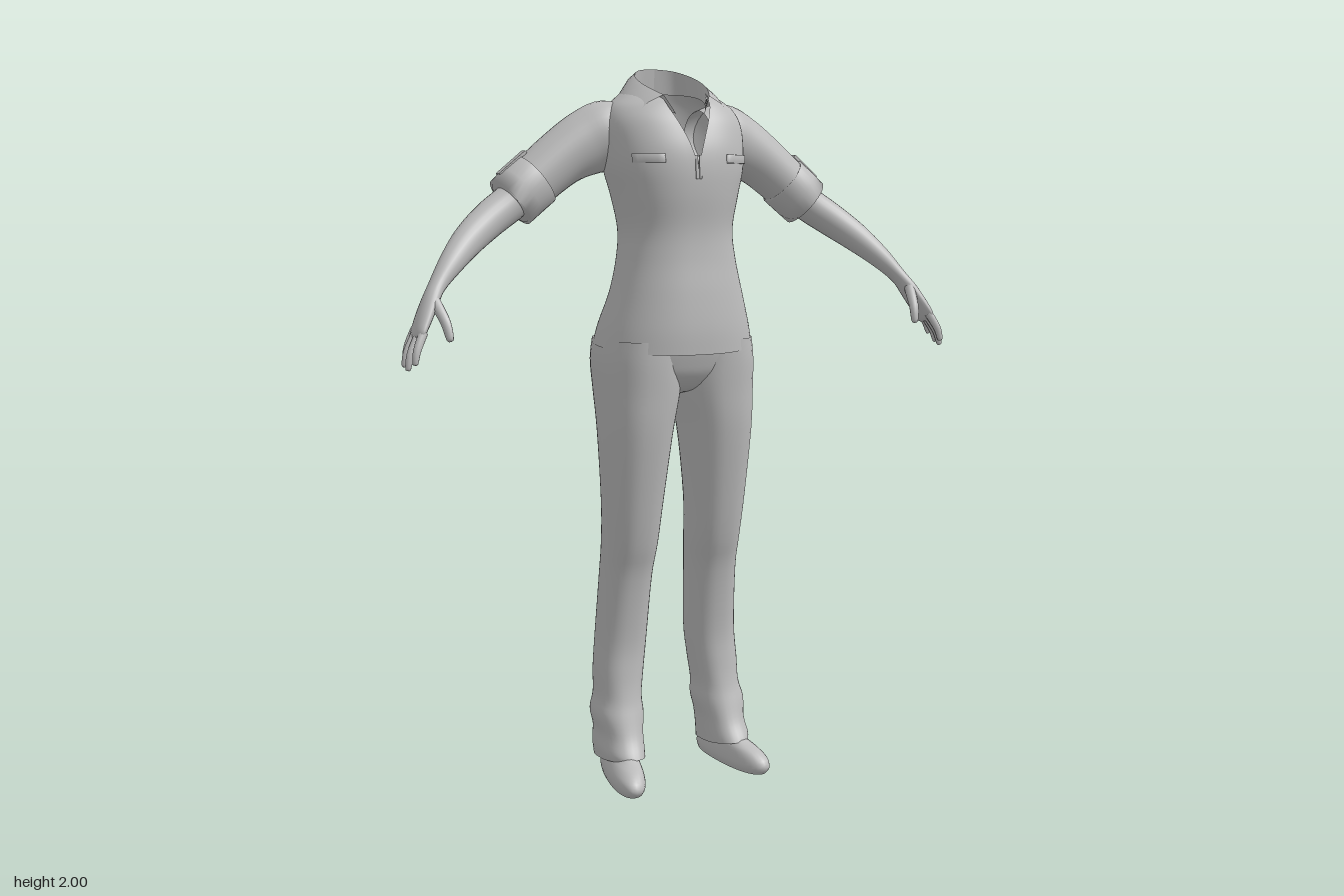
import * as THREE from 'three';
import { mergeVertices } from 'three/addons/utils/BufferGeometryUtils.js';

const grey = new THREE.MeshStandardMaterial({ color: 0xbcbcbc, side: THREE.DoubleSide });
grey.name = 'plainGrey';

// Smooth surface through a grid of points
function surface(rows) {
  const n = rows[0].length, pos = rows.flat(2), idx = [];
  for (let i = 0; i < rows.length - 1; i++)
    for (let j = 0; j < n - 1; j++) {
      const a = i * n + j, b = a + n;
      idx.push(a, a + 1, b + 1, a, b + 1, b);
    }
  const g = new THREE.BufferGeometry();
  g.setAttribute('position', new THREE.Float32BufferAttribute(pos, 3));
  g.setIndex(idx);
  const merged = mergeVertices(g, 1e-5);
  merged.computeVertexNormals();
  return merged;
}

// Catmull-Rom through rows of numbers; t counts rows
function sample(rows, t) {
  const last = rows.length - 1, i = Math.min(Math.floor(t), last - 1), f = t - i;
  const at = (k) => rows[Math.max(0, Math.min(last, k))];
  return rows[0].map((_, c) => {
    const [a, b, d, e] = [at(i - 1)[c], at(i)[c], at(i + 1)[c], at(i + 2)[c]];
    return b + 0.5 * f * (d - a + f * (2 * a - 5 * b + 4 * d - e + f * (3 * (b - d) + e - a)));
  });
}
const refine = (rows, sub) => Array.from({ length: (rows.length - 1) * sub + 1 }, (_, k) => sample(rows, k / sub));

// Point on a level ring: [y, halfWidth, zFront, zBack, tilt, gap, centreX, skew]
function ringPoint([y, rx, zf, zb, tilt = 0, , cx = 0, skew = 0], a, power = 2.3) {
  const pw = (v) => Math.sign(v) * Math.abs(v) ** (2 / power);
  const z = (zf + zb) / 2 + (zf - zb) / 2 * pw(Math.cos(a));
  return [cx + rx * pw(Math.sin(a)) + skew * z, y - tilt * Math.cos(a), z];
}
function loft(rows, sub = 4, seg = 48) {
  return surface(refine(rows, sub).map((r) => {
    const gap = Math.max(0, r[5] || 0);
    return Array.from({ length: seg + 1 }, (_, j) => ringPoint(r, gap + (2 * Math.PI - 2 * gap) * j / seg));
  }));
}

// Limb along a path: [x, y, z, radiusAcross, radiusDepth]
function limb(rows, sub = 4, seg = 20) {
  const pts = refine(rows, sub), v = pts.map((p) => new THREE.Vector3(...p));
  return surface(pts.map((p, i) => {
    const T = v[Math.min(i + 1, v.length - 1)].clone().sub(v[Math.max(i - 1, 0)]).normalize();
    const B = new THREE.Vector3(0, 0, 1).addScaledVector(T, -T.z).normalize();
    const A = B.clone().cross(T);
    return Array.from({ length: seg + 1 }, (_, j) => {
      const a = 2 * Math.PI * j / seg;
      return v[i].clone().addScaledVector(A, p[3] * Math.cos(a)).addScaledVector(B, p[4] * Math.sin(a)).toArray();
    });
  }));
}

function mirror(g) {
  const m = g.clone().scale(-1, 1, 1), ix = m.index.array;
  for (let i = 0; i < ix.length; i += 3) [ix[i], ix[i + 1]] = [ix[i + 1], ix[i]];
  m.computeVertexNormals();
  return m;
}

const SHIRT = [
  [1.242, 0.225, 0.168, -0.186, 0.018, 0],
  [1.30, 0.212, 0.168, -0.172, 0.008, 0],
  [1.39, 0.186, 0.16, -0.136, 0, 0],
  [1.48, 0.166, 0.15, -0.126, 0, 0],
  [1.56, 0.158, 0.147, -0.134, 0, 0],
  [1.65, 0.175, 0.155, -0.15, 0, 0],
  [1.72, 0.193, 0.156, -0.165, 0, 0],
  [1.78, 0.198, 0.148, -0.17, 0, 0.06],
  [1.84, 0.197, 0.127, -0.168, 0, 0.17],
  [1.885, 0.178, 0.107, -0.16, 0.01, 0.28],
  [1.915, 0.142, 0.095, -0.15, 0.02, 0.42],
  [1.94, 0.105, 0.078, -0.14, 0.033, 0.6],
];

// Thin plate lying on the shirt
function shirtPatch(t0, t1, a0, a1, lift) {
  return surface(Array.from({ length: 4 }, (_, i) => Array.from({ length: 9 }, (_, j) => {
    const edge = i === 0 || i === 3 || j === 0 || j === 8 ? 0.001 : lift;
    const r = sample(SHIRT, t0 + (t1 - t0) * [0, 0.03, 0.97, 1][i]);
    const u = [0, 0.02, 0.2, 0.35, 0.5, 0.65, 0.8, 0.98, 1][j];
    const a = a0 + (a1 - a0) * u, p = ringPoint(r, a);
    return [p[0] + edge * Math.sin(a), p[1], p[2] + edge * Math.cos(a)];
  })));
}

export function createModel() {
  const model = new THREE.Group();
  const add = (name, g) => {
    const m = new THREE.Mesh(g, grey);
    m.name = name;
    model.add(m);
  };
  const pair = (name, g) => {
    add('left' + name, g);
    add('right' + name, mirror(g));
  };

  // Shirt body, open at the neck with a V
  add('shirt', loft(SHIRT, 5, 64));
  pair('PocketFlap', shirtPatch(6.25, 6.65, 0.42, 0.95, 0.007));
  pair('PlacketEdge', shirtPatch(5.6, 6.6, 0.004, 0.03, 0.003));

  // Folded collar: inner stand, fold line and outer leaf
  const fold = [[0, 2.0, -0.127], [0.055, 1.994, -0.112], [0.09, 1.973, -0.06], [0.093, 1.945, 0.01], [0.068, 1.915, 0.082]];
  const leaf = [[0, 1.95, -0.152], [0.08, 1.945, -0.138], [0.127, 1.928, -0.08], [0.148, 1.898, -0.01], [0.152, 1.858, 0.07]];
  const stand = [[0, 1.93, -0.135], [0.06, 1.93, -0.12], [0.094, 1.92, -0.06], [0.088, 1.9, 0.01], [0.042, 1.865, 0.104]];
  const [F, L, S] = [fold, leaf, stand].map((c) => refine(c, 5));
  const mid = F.map((p, i) => p.map((v, k) => (v + L[i][k]) / 2 + (k === 1 ? 0.008 : 0)));
  pair('CollarLeaf', surface([L, mid, F]));
  pair('CollarStand', surface([F, S]));

  // Sleeves, rolled cuffs and strap tabs
  pair('Sleeve', limb([
    [0.10, 1.815, -0.06, 0.07, 0.07], [0.17, 1.812, -0.068, 0.095, 0.083], [0.235, 1.79, -0.071, 0.088, 0.076],
    [0.31, 1.747, -0.07, 0.076, 0.07], [0.41, 1.668, -0.066, 0.07, 0.066]], 5, 32));
  pair('Cuff', limb([
    [0.378, 1.694, -0.067, 0.066, 0.062], [0.379, 1.693, -0.067, 0.077, 0.071], [0.42, 1.66, -0.065, 0.077, 0.071],
    [0.453, 1.632, -0.062, 0.076, 0.07], [0.454, 1.631, -0.062, 0.068, 0.062], [0.42, 1.66, -0.065, 0.063, 0.06]], 1, 32));
  const tab = new THREE.BoxGeometry(0.095, 0.008, 0.032);
  tab.rotateZ(-0.69).translate(0.447, 1.735, -0.066);
  pair('CuffTab', tab);

  // Forearm and palm
  pair('Forearm', limb([
    [0.38, 1.695, -0.066, 0.05, 0.05], [0.45, 1.635, -0.06, 0.05, 0.05], [0.52, 1.587, -0.04, 0.048, 0.047],
    [0.59, 1.533, -0.005, 0.042, 0.04], [0.65, 1.475, 0.035, 0.032, 0.032], [0.697, 1.42, 0.066, 0.022, 0.028],
    [0.725, 1.375, 0.088, 0.021, 0.038], [0.752, 1.325, 0.108, 0.018, 0.044], [0.766, 1.295, 0.118, 0.013, 0.041],
    [0.77, 1.287, 0.12, 0.001, 0.002]], 4, 24));

  // Fingers: base, middle and tip
  const fingers = [
    [[0.756, 1.31, 0.145], [0.777, 1.268, 0.160], [0.785, 1.232, 0.166]],
    [[0.764, 1.302, 0.126], [0.788, 1.258, 0.139], [0.798, 1.217, 0.144]],
    [[0.766, 1.305, 0.106], [0.79, 1.263, 0.115], [0.801, 1.224, 0.120]],
    [[0.762, 1.318, 0.086], [0.782, 1.28, 0.091], [0.793, 1.247, 0.094]],
    [[0.714, 1.385, 0.105], [0.70, 1.335, 0.15], [0.693, 1.288, 0.168]],
  ];
  fingers.forEach(([a, b, c], i) => {
    const r = i === 4 ? 0.0135 : i === 3 ? 0.009 : 0.0105;
    const near = c.map((v, k) => v * 0.88 + b[k] * 0.12);
    pair(i === 4 ? 'Thumb' : 'Finger' + (i + 1), limb([
      [...a, r * 1.15, r * 1.15], [...b, r, r], [...near, r * 0.7, r * 0.7], [...c, 0.0005, 0.0005]], 4, 10));
  });

  // Trousers: hips, then a leg on each side
  add('hips', loft([
    [1.30, 0.195, 0.145, -0.15], [1.25, 0.214, 0.147, -0.172], [1.20, 0.217, 0.137, -0.168],
    [1.16, 0.19, 0.122, -0.15], [1.12, 0.11, 0.085, -0.11], [1.10, 0.01, 0.01, -0.02]], 4));
  const leg = [ // y, inner x, outer x, front z, back z, hem tilt
    [1.26, 0.0, 0.22, 0.142, -0.17, 0], [1.2, -0.003, 0.228, 0.141, -0.17, 0], [1.12, 0.0, 0.227, 0.136, -0.148, 0],
    [1.0, 0.024, 0.222, 0.126, -0.116, 0], [0.8, 0.046, 0.211, 0.093, -0.101, 0], [0.68, 0.054, 0.206, 0.068, -0.11, 0],
    [0.58, 0.062, 0.206, 0.04, -0.123, 0], [0.4, 0.07, 0.214, 0.016, -0.138, 0], [0.3, 0.082, 0.221, 0.02, -0.139, 0],
    [0.23, 0.092, 0.222, 0.031, -0.138, 0], [0.18, 0.09, 0.234, 0.046, -0.139, 0], [0.13, 0.1, 0.226, 0.066, -0.137, 0.005],
    [0.085, 0.104, 0.23, 0.09, -0.136, 0.0], [0.053, 0.106, 0.226, 0.097, -0.134, -0.02],
  ].map(([y, x0, x1, zf, zb, tilt]) => [y, (x1 - x0) / 2, zf, zb, tilt, 0, (x0 + x1) / 2]).reverse();
  pair('TrouserLeg', loft(leg, 4, 36));

  // Shoes, splayed slightly outwards, with flat soles
  const outline = [0, 0.046, 0.176, -0.122, 0, 0, 0.172, 0.15];
  pair('Shoe', loft([
    outline, [0.018, 0.051, 0.19, -0.128, 0, 0, 0.172, 0.15], [0.04, 0.049, 0.182, -0.126, 0, 0, 0.172, 0.15],
    [0.06, 0.041, 0.15, -0.12, 0, 0, 0.17, 0.13], [0.075, 0.034, 0.10, -0.115, 0, 0, 0.168, 0.1],
    [0.1, 0.03, 0.05, -0.11, 0, 0, 0.166, 0.05]], 3, 32));
  pair('Sole', loft([[0, 0.0005, 0.03, 0.029, 0, 0, 0.172, 0.15], outline], 1, 32));

  return model;
}
